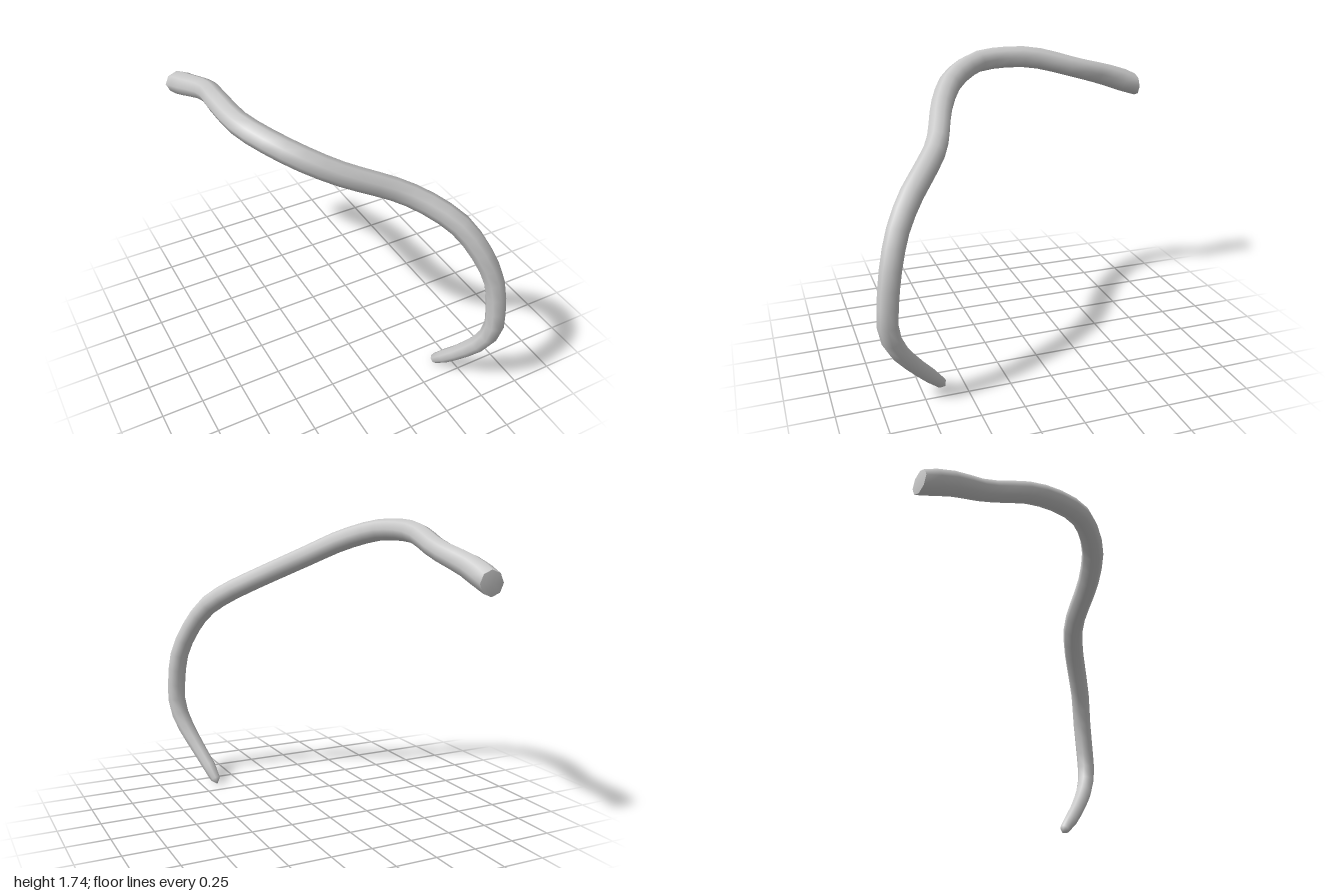
import * as THREE from 'three';

// Centreline points with the radius at each: x, y, z, r
const STATIONS = [
  [-0.545, 1.45, -0.99, 0.076], [-0.545, 1.52, -0.8, 0.071], [-0.51, 1.593, -0.56, 0.063],
  [-0.55, 1.675, -0.25, 0.066], [-0.545, 1.685, 0, 0.066], [-0.5, 1.672, 0.14, 0.067],
  [-0.36, 1.605, 0.32, 0.068], [-0.18, 1.51, 0.43, 0.066], [0.14, 1.36, 0.55, 0.064],
  [0.275, 1.28, 0.645, 0.065], [0.39, 1.18, 0.755, 0.065], [0.475, 1.03, 0.85, 0.062],
  [0.54, 0.85, 0.91, 0.06], [0.558, 0.65, 0.94, 0.058], [0.556, 0.5, 0.945, 0.057],
  [0.525, 0.37, 0.9, 0.054], [0.46, 0.2, 0.78, 0.045], [0.415, 0.08, 0.675, 0.041],
  [0.405, 0.035, 0.633, 0.031],
];
const SIDES = 8;
const RINGS = 36;

export function createModel() {
  const group = new THREE.Group();
  group.name = 'bentBranch';
  const material = new THREE.MeshStandardMaterial({ color: 0xcccccc });

  const curve = new THREE.CatmullRomCurve3(STATIONS.map(([x, y, z]) => new THREE.Vector3(x, y, z)));
  const frames = curve.computeFrenetFrames(RINGS);

  const radiusAt = (u) => {
    const s = curve.getUtoTmapping(u) * (STATIONS.length - 1);
    const i = Math.min(Math.floor(s), STATIONS.length - 2);
    return THREE.MathUtils.lerp(STATIONS[i][3], STATIONS[i + 1][3], s - i);
  };

  // Rings of the branch, swept along the centreline
  const positions = [];
  const index = [];
  for (let i = 0; i <= RINGS; i++) {
    const u = i / RINGS;
    const centre = curve.getPointAt(u);
    const r = radiusAt(u);
    for (let j = 0; j < SIDES; j++) {
      const a = (j / SIDES) * Math.PI * 2;
      const p = centre.clone()
        .addScaledVector(frames.normals[i], Math.cos(a) * r)
        .addScaledVector(frames.binormals[i], Math.sin(a) * r);
      if (i === 0) p.z = centre.z; // the cut end is upright
      positions.push(p.x, p.y, p.z);
      if (i === RINGS) continue;
      const k = (j + 1) % SIDES;
      const [p0, p1, q0, q1] = [i * SIDES + j, i * SIDES + k, (i + 1) * SIDES + j, (i + 1) * SIDES + k];
      index.push(p0, p1, q0, p1, q1, q0);
    }
  }

  // Blunt tip closing the thin end
  const tip = positions.length / 3;
  positions.push(0.4, 0.008, 0.612);
  for (let j = 0; j < SIDES; j++) {
    index.push(RINGS * SIDES + j, RINGS * SIDES + ((j + 1) % SIDES), tip);
  }
  const geometry = new THREE.BufferGeometry();
  geometry.setAttribute('position', new THREE.Float32BufferAttribute(positions, 3));
  geometry.setIndex(index);
  geometry.computeVertexNormals();
  const branch = new THREE.Mesh(geometry, material);
  branch.name = 'branch';
  group.add(branch);

  // Cut face closing the thick end, with its own hard edge
  const capPositions = [...positions.slice(0, SIDES * 3), -0.545, 1.45, -1];
  const capIndex = [];
  for (let j = 0; j < SIDES; j++) capIndex.push((j + 1) % SIDES, j, SIDES);
  const capGeometry = new THREE.BufferGeometry();
  capGeometry.setAttribute('position', new THREE.Float32BufferAttribute(capPositions, 3));
  capGeometry.setIndex(capIndex);
  capGeometry.computeVertexNormals();
  const cutEnd = new THREE.Mesh(capGeometry, material);
  cutEnd.name = 'cutEnd';
  group.add(cutEnd);

  return group;
}
